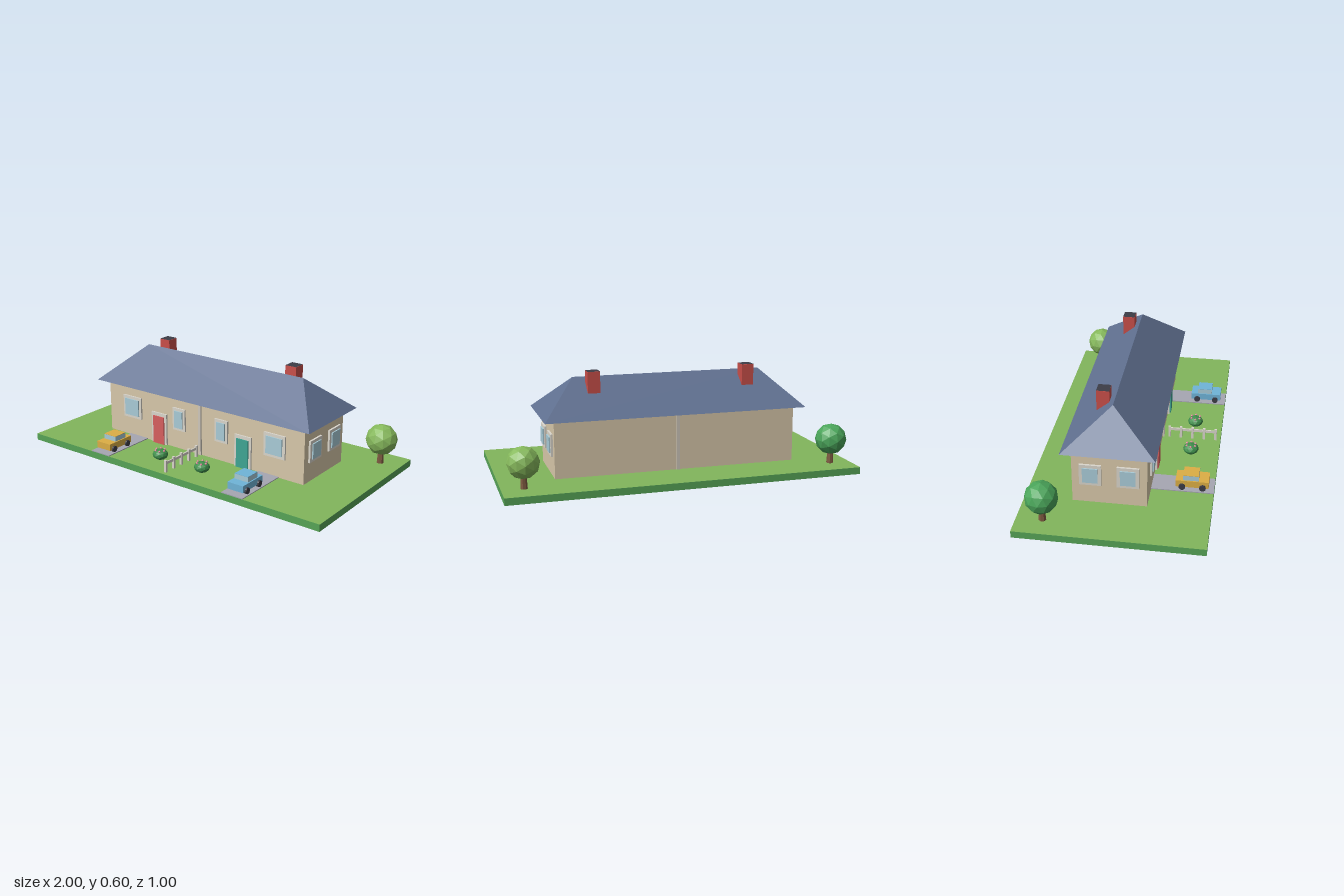
import * as THREE from 'three';
import { ConvexGeometry } from 'three/addons/geometries/ConvexGeometry.js';

const mat = (color) => new THREE.MeshStandardMaterial({ color, flatShading: true });
const M = {
  lawn: mat(0x82b55c), soil: mat(0x57a457), wall: mat(0xd8c8aa), roof: mat(0x5f6f8f),
  brick: mat(0xc94f4a), dark: mat(0x3c3c46), frame: mat(0xdad6cc), glass: mat(0xa9ccd8),
  pipe: mat(0xcfc8bc), drive: mat(0xa6a6b2), trunk: mat(0x7d5a40), bush: mat(0x3f8f4c),
  flower: mat(0xe58fa5), red: mat(0xd85f5f), teal: mat(0x3fa594),
  yellow: mat(0xdcae45), blue: mat(0x6fb4d8), treeA: mat(0x4aa55a), treeB: mat(0x86b95c),
};

function add(parent, name, geometry, material, x = 0, y = 0, z = 0) {
  const mesh = new THREE.Mesh(geometry, material);
  mesh.name = name;
  mesh.position.set(x, y, z);
  parent.add(mesh);
  return mesh;
}

// Box given by its extents along each axis
function box(parent, name, material, [x0, x1], [y0, y1], [z0, z1]) {
  return add(parent, name, new THREE.BoxGeometry(x1 - x0, y1 - y0, z1 - z0), material,
    (x0 + x1) / 2, (y0 + y1) / 2, (z0 + z1) / 2);
}

function group(parent, name, x = 0, y = 0, z = 0) {
  const g = new THREE.Group();
  g.name = name;
  g.position.set(x, y, z);
  parent.add(g);
  return g;
}

// Framed pane standing proud of a wall, facing its own +z
function windowUnit(parent, w, h, border, x, y, z, turn = 0) {
  const g = group(parent, 'window', x, y, z);
  g.rotation.y = turn;
  box(g, 'windowFrame', M.frame, [-w / 2, w / 2], [-h / 2, h / 2], [-0.01, 0.01]);
  const pw = w / 2 - border, ph = h / 2 - border;
  box(g, 'windowPane', M.glass, [-pw, pw], [-ph, ph], [0, 0.017]);
}

function door(parent, x, color) {
  const g = group(parent, 'door', x, 0.04, 0.16);
  box(g, 'doorFrame', M.frame, [-0.056, 0.056], [0, 0.19], [-0.01, 0.01]);
  box(g, 'doorPanel', color, [-0.04, 0.04], [0, 0.17], [0, 0.017]);
}

function car(parent, x, paint) {
  const g = group(parent, 'car', x, 0.045, 0.38);
  box(g, 'carBody', paint, [-0.05, 0.05], [0.014, 0.053], [-0.09, 0.09]);
  box(g, 'carCabin', M.glass, [-0.043, 0.043], [0.053, 0.082], [-0.05, 0.035]);
  box(g, 'carRoof', paint, [-0.043, 0.043], [0.082, 0.084], [-0.05, 0.035]);
  const wheel = new THREE.CylinderGeometry(0.018, 0.018, 0.016, 12).rotateZ(Math.PI / 2);
  for (const sx of [-1, 1])
    for (const z of [-0.054, 0.057]) add(g, 'wheel', wheel, M.dark, sx * 0.052, 0.018, z);
}

function bush(parent, x) {
  const g = group(parent, 'bush', x, 0.065, 0.34);
  add(g, 'bushLeaves', new THREE.IcosahedronGeometry(0.045, 1), M.bush).scale.y = 0.7;
  const bloom = new THREE.IcosahedronGeometry(0.007, 0);
  for (let i = 0; i < 6; i++) {
    const a = (i / 6) * Math.PI * 2;
    add(g, 'flower', bloom, M.flower, Math.cos(a) * 0.028, 0.026, Math.sin(a) * 0.028);
  }
}

function tree(parent, x, leaves) {
  const g = group(parent, 'tree', x, 0.04, -0.36);
  add(g, 'trunk', new THREE.CylinderGeometry(0.015, 0.02, 0.08, 7), M.trunk, 0, 0.04);
  add(g, 'treeCrown', new THREE.IcosahedronGeometry(0.089, 1), leaves, 0, 0.141);
}

export function createModel() {
  const root = new THREE.Group();
  root.name = 'semiDetachedHouse';

  // Plot of land
  box(root, 'ground', M.soil, [-1, 1], [0, 0.0395], [-0.5, 0.5]);
  add(root, 'lawn', new THREE.PlaneGeometry(2, 1).rotateX(-Math.PI / 2), M.lawn, 0, 0.04, 0);

  // Walls, with a downpipe strip on the party line front and back
  const house = group(root, 'house');
  box(house, 'walls', M.wall, [-0.695, 0.695], [0.04, 0.36], [-0.24, 0.16]);
  box(house, 'frontDownpipe', M.pipe, [-0.009, 0.009], [0.04, 0.36], [0.155, 0.17]);
  box(house, 'backDownpipe', M.pipe, [-0.009, 0.009], [0.04, 0.36], [-0.25, -0.235]);

  // Hipped roof
  const corners = [];
  for (const s of [-1, 1]) {
    corners.push(new THREE.Vector3(s * 0.75, 0.36, 0.21), new THREE.Vector3(s * 0.75, 0.36, -0.29),
      new THREE.Vector3(s * 0.55, 0.56, -0.04));
  }
  add(house, 'roof', new ConvexGeometry(corners), M.roof);

  // Mirrored halves
  for (const s of [-1, 1]) {
    const cx = s * 0.45;
    box(house, 'chimney', M.brick, [cx - 0.035, cx + 0.035], [0.44, 0.599], [-0.14, -0.07]);
    add(house, 'chimneyTop', new THREE.PlaneGeometry(0.07, 0.07).rotateX(-Math.PI / 2), M.dark, cx, 0.6, -0.105);

    windowUnit(house, 0.138, 0.135, 0.017, s * 0.51, 0.222, 0.16);
    windowUnit(house, 0.09, 0.135, 0.016, s * 0.152, 0.222, 0.16);
    for (const z of [0.06, -0.14])
      windowUnit(house, 0.118, 0.124, 0.018, s * 0.697, 0.217, z, s * Math.PI / 2);
    door(house, s * 0.302, s < 0 ? M.red : M.teal);

    const dx = s * 0.47;
    box(root, 'driveway', M.drive, [dx - 0.068, dx + 0.068], [0.04, 0.045], [0.16, 0.5]);
    car(root, dx, s < 0 ? M.yellow : M.blue);
    bush(root, s * 0.15);
    tree(root, s * 0.88, s < 0 ? M.treeA : M.treeB);
  }

  // Garden fence along the party line
  const fence = group(root, 'fence');
  for (let i = 0; i < 5; i++) {
    const z = 0.2 + i * 0.0675;
    box(fence, 'fencePost', M.frame, [-0.007, 0.007], [0.04, 0.11], [z - 0.007, z + 0.007]);
  }
  box(fence, 'fenceRail', M.frame, [-0.004, 0.004], [0.085, 0.1], [0.2, 0.47]);
  return root;
}
